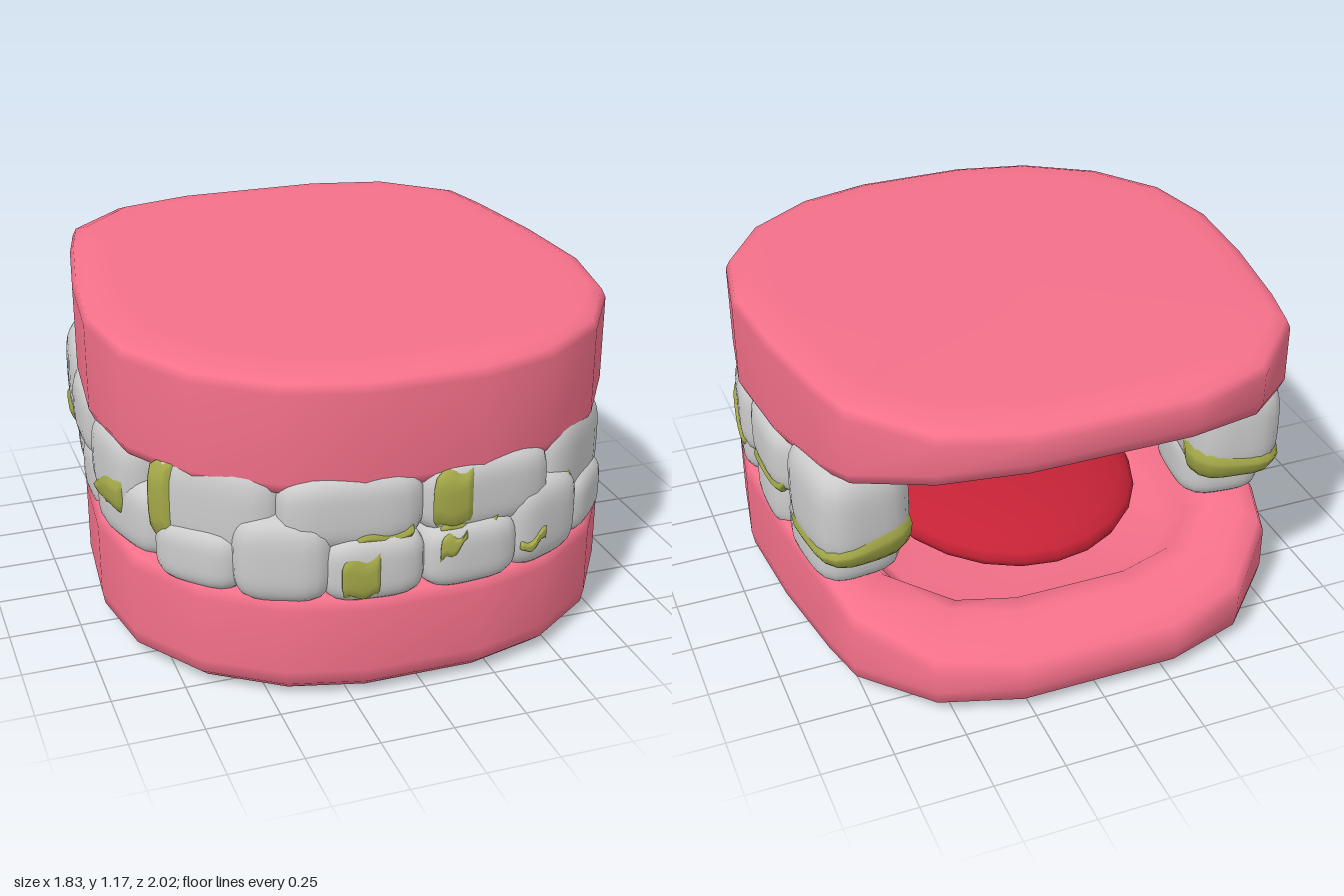
import * as THREE from 'three';
import { mergeVertices } from 'three/addons/utils/BufferGeometryUtils.js';

const mat = (color, side = THREE.FrontSide) => new THREE.MeshStandardMaterial({ color, side, roughness: 0.7 });
const gumMat = mat(0xf4708a), toothMat = mat(0xcccccc), tongueMat = mat(0xc42236);
const stainMat = mat(0xa3a848, THREE.DoubleSide);
const P = 3.6; // squareness of the teeth

// piecewise linear curve through [z, y] pairs, z descending
function curve(points) {
  return z => {
    if (z >= points[0][0]) return points[0][1];
    for (let i = 1; i < points.length; i++) {
      const [z0, y0] = points[i - 1], [z1, y1] = points[i];
      if (z >= z1) return y0 + (y1 - y0) * (z - z0) / (z1 - z0);
    }
    return points[points.length - 1][1];
  };
}

// grid of points (rows of columns) turned into a smooth surface
function surface(rows, cols, point, closed) {
  const pos = [], idx = [], n = closed ? cols : cols + 1;
  for (let j = 0; j <= rows; j++) for (let i = 0; i < n; i++) pos.push(...point(i, j));
  for (let j = 0; j < rows; j++) for (let i = 0; i < cols; i++) {
    const a = j * n + i, b = j * n + (i + 1) % n;
    idx.push(a, b, b + n, a, b + n, a + n);
  }
  let g = new THREE.BufferGeometry();
  g.setAttribute('position', new THREE.Float32BufferAttribute(pos, 3));
  g.setIndex(idx);
  g = mergeVertices(g, 1e-4);
  g.computeVertexNormals();
  return g;
}

// plan outline of the jaw: left half from the front to the back, then mirrored
const half = [[0.2, 0.99], [0.46, 0.92], [0.7, 0.75], [0.86, 0.5], [0.91, 0.2], [0.88, -0.15],
  [0.82, -0.5], [0.775, -0.68], [0.56, -0.91], [0.28, -1]];
const outline = [...half, ...half.slice().reverse().map(([x, z]) => [-x, z])];

// rings: [scale, height as a function of z], from the lower centre round to the upper centre
function gum(name, rings, shift) {
  const g = surface(rings.length - 1, outline.length, (i, j) => {
    const [s, h] = rings[j], [x, z] = outline[i];
    const zz = z * s * 0.985 + shift;
    return [x * s, h(zz), zz];
  }, true);
  const m = new THREE.Mesh(g, gumMat);
  m.name = name;
  return m;
}

function lowerGum() {
  const rim = curve([[1, 0.37], [0.4, 0.4], [0, 0.41], [-0.5, 0.36], [-0.75, 0.27], [-0.96, 0.2]]);
  const floor = y => z => Math.min(y, rim(z) - 0.01);
  return gum('lowerGum', [
    [0, () => 0], [0.84, () => 0], [0.95, () => 0.015], [0.99, () => 0.05], [1, () => 0.1],
    [1, z => rim(z) - 0.05], [0.98, z => rim(z) - 0.01], [0.92, rim], [0.8, rim],
    [0.72, floor(0.26)], [0.64, floor(0.19)], [0, () => 0.17],
  ], 0.015);
}

function upperGum() {
  const rim = curve([[1, 0.71], [0.5, 0.73], [0, 0.74], [-0.26, 0.76], [-0.6, 0.83], [-1, 0.98]]);
  const top = curve([[1, 1.11], [0.8, 1.12], [-0.75, 1.168], [-1, 1.15]]);
  const palate = y => z => Math.max(y, rim(z) + 0.01);
  return gum('upperGum', [
    [0, () => 1.03], [0.62, palate(1.0)], [0.71, palate(0.92)], [0.8, rim], [0.92, rim],
    [0.98, z => rim(z) + 0.01], [1, z => rim(z) + 0.05], [1, z => top(z) - 0.05],
    [0.985, z => top(z) - 0.02], [0.94, z => top(z) - 0.005], [0.84, top], [0, top],
  ], -0.02);
}

// teeth of the left half: [outer x, outer z, facing angle, width, low y, high y, depth]
const TEETH = {
  upper: [
    [0.238, 0.968, 0.13, 0.48, 0.52, 0.79, 0.24],
    [0.67, 0.745, 0.76, 0.47, 0.44, 0.82, 0.28],
    [0.9, 0.3, 1.4, 0.36, 0.46, 0.79, 0.3],
    [0.91, -0.07, 1.6, 0.4, 0.53, 0.82, 0.32],
    [0.868, -0.45, 1.7, 0.4, 0.46, 0.86, 0.34],
  ],
  lower: [
    [0.17, 1.0, 0.08, 0.345, 0.34, 0.58, 0.22],
    [0.475, 0.925, 0.42, 0.33, 0.34, 0.65, 0.24],
    [0.72, 0.735, 0.82, 0.33, 0.35, 0.58, 0.26],
    [0.875, 0.38, 1.28, 0.42, 0.36, 0.64, 0.28],
    [0.895, -0.01, 1.57, 0.33, 0.33, 0.6, 0.3],
    [0.855, -0.36, 1.68, 0.39, 0.33, 0.58, 0.32],
  ],
};

// point on a rounded-box tooth: turn t about the vertical, height v from -1 to 1
function toothPoint(t, v, w, h, d, grow) {
  const s = Math.sin(t), c = Math.cos(t);
  const k = grow * Math.pow(Math.max(0, 1 - Math.abs(v) ** P), 1 / P) /
    (Math.abs(s) ** P + Math.abs(c) ** P) ** (1 / P);
  return [s * k * w / 2, v * h / 2 * grow, c * k * d / 2];
}

function placeTooth(obj, spec, side) {
  const [x, z, a, , lo, hi, d] = spec;
  obj.position.set(side * (x - Math.sin(a) * d / 2), (lo + hi) / 2, z - Math.cos(a) * d / 2);
  obj.rotation.y = side * a;
}

function tooth(spec, side, name) {
  const [, , , w, lo, hi, d] = spec;
  const g = surface(18, 28, (i, j) => {
    const v = -Math.cos(j / 18 * Math.PI);
    return toothPoint(i / 28 * Math.PI * 2, Math.sign(v) * Math.abs(v) ** 0.75, w, hi - lo, d, 1);
  }, true);
  const m = new THREE.Mesh(g, toothMat);
  m.name = name;
  placeTooth(m, spec, side);
  return m;
}

// thin patch on a tooth: turn range with low and high edge at each end
function stain(jaw, index, side, [t0, a0, b0, t1, a1, b1]) {
  const spec = TEETH[jaw][index], [, , , w, lo, hi, d] = spec;
  const C = 14, R = 6;
  const g = surface(R, C, (i, j) => {
    const u = i / C, border = i === 0 || j === 0 || i === C || j === R;
    const low = a0 + (a1 - a0) * u + 0.012 * Math.sin(u * 9 + index);
    const high = b0 + (b1 - b0) * u + 0.012 * Math.sin(u * 7 + 2 * index);
    const y = low + (high - low) * j / R;
    const v = THREE.MathUtils.clamp((2 * y - lo - hi) / (hi - lo), -0.97, 0.97);
    return toothPoint(t0 + (t1 - t0) * u, v, w, hi - lo, d, border ? 0.98 : 1.07);
  }, false);
  const m = new THREE.Mesh(g, stainMat);
  m.name = 'stain';
  placeTooth(m, spec, side);
  return m;
}

const STAINS = [
  ['upper', 0, 1, [-0.85, 0.56, 0.77, -0.32, 0.56, 0.77]],
  ['upper', 0, 1, [-0.8, 0.52, 0.57, 0.1, 0.54, 0.57]],
  ['upper', 0, -1, [0.0, 0.53, 0.57, 0.8, 0.54, 0.59]],
  ['lower', 0, -1, [-0.65, 0.36, 0.5, 0.05, 0.36, 0.53]],
  ['lower', 0, 1, [-0.7, 0.45, 0.54, -0.2, 0.52, 0.55]],
  ['lower', 1, 1, [-0.8, 0.42, 0.45, -0.2, 0.45, 0.49]],
  ['upper', 1, 1, [-1.0, 0.53, 0.58, -0.5, 0.54, 0.62]],
  ['upper', 1, 1, [-0.35, 0.44, 0.48, 0.75, 0.46, 0.53]],
  ['upper', 1, -1, [-0.85, 0.48, 0.79, -0.5, 0.46, 0.79]],
  ['upper', 1, -1, [-0.45, 0.44, 0.48, 0.35, 0.44, 0.48]],
  ['upper', 2, 1, [-0.85, 0.6, 0.67, 0.55, 0.46, 0.53]],
  ['upper', 2, -1, [-0.6, 0.47, 0.54, 0.7, 0.5, 0.64]],
  ['upper', 3, 1, [-0.7, 0.54, 0.58, 0.8, 0.53, 0.6]],
  ['upper', 4, 1, [-0.9, 0.46, 0.53, 2.6, 0.49, 0.61]],
  ['upper', 4, -1, [-2.9, 0.48, 0.61, 0.5, 0.47, 0.55]],
];

export function createModel() {
  const model = new THREE.Group();
  model.name = 'mouth';
  model.add(lowerGum(), upperGum());

  // both rows of teeth, mirrored left to right
  for (const jaw of ['upper', 'lower']) {
    const row = new THREE.Group();
    row.name = jaw + 'Teeth';
    for (const side of [1, -1]) TEETH[jaw].forEach(spec => row.add(tooth(spec, side, jaw + 'Tooth')));
    model.add(row);
  }

  const stains = new THREE.Group();
  stains.name = 'stains';
  STAINS.forEach(s => stains.add(stain(...s)));
  model.add(stains);

  // tongue resting on the lower jaw
  const tongue = new THREE.Mesh(new THREE.SphereGeometry(1, 24, 14), tongueMat);
  tongue.name = 'tongue';
  tongue.scale.set(0.5, 0.13, 0.62);
  tongue.position.set(0, 0.3, 0.03);
  model.add(tongue);
  return model;
}
